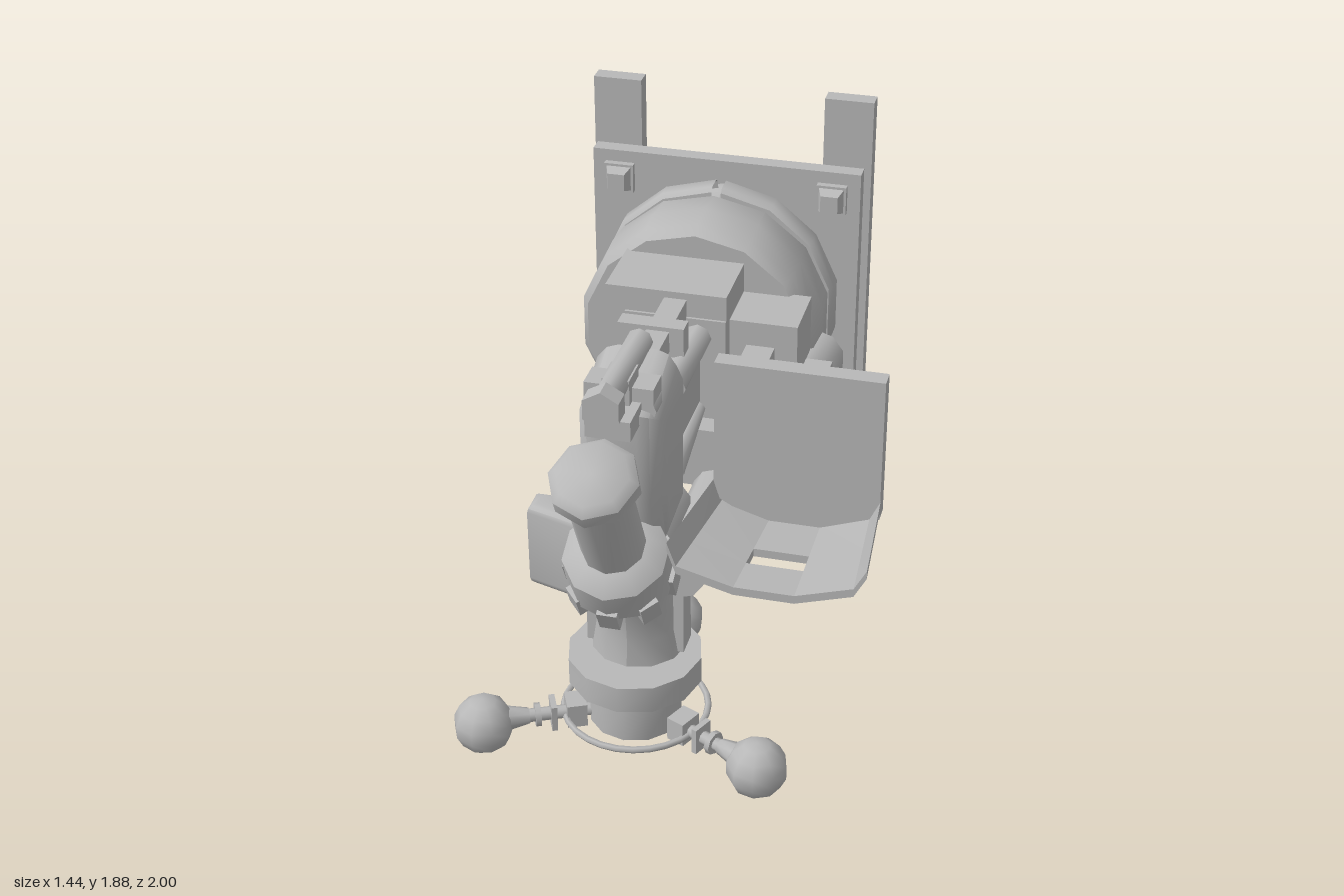
import * as THREE from 'three';
import { toCreasedNormals } from 'three/addons/utils/BufferGeometryUtils.js';

const grey = new THREE.MeshStandardMaterial({ color: 0xb8b8b8, side: THREE.DoubleSide });
grey.name = 'plain grey';
const CX = -0.125, WALL_X = -0.118, HUB_Z = 0.445;

export function createModel() {
  const model = new THREE.Group();
  const add = (name, geo, parent = model) => {
    const m = new THREE.Mesh(geo, grey);
    m.name = name;
    parent.add(m);
    return m;
  };
  // Box from its minimum and maximum corners
  const box = (name, [x0, x1], [y0, y1], [z0, z1], parent) => {
    const m = add(name, new THREE.BoxGeometry(x1 - x0, y1 - y0, z1 - z0), parent);
    m.position.set((x0 + x1) / 2, (y0 + y1) / 2, (z0 + z1) / 2);
    return m;
  };
  // Cylinder or cone running from point a to point b
  const rod = (name, a, b, ra, rb = ra, seg = 10, parent = model, open = false) => {
    const A = new THREE.Vector3(...a), B = new THREE.Vector3(...b), d = B.clone().sub(A);
    const geo = toCreasedNormals(new THREE.CylinderGeometry(rb, ra, d.length(), seg, 1, open), 0.9);
    const m = add(name, geo, parent);
    m.position.copy(A).add(B).multiplyScalar(0.5);
    m.quaternion.setFromUnitVectors(new THREE.Vector3(0, 1, 0), d.normalize());
    return m;
  };
  const shape = pts => new THREE.Shape(pts.map(p => new THREE.Vector2(...p)));
  const extrude = (pts, depth, bevel = 0) => new THREE.ExtrudeGeometry(shape(pts), {
    depth, bevelEnabled: bevel > 0, bevelSize: bevel, bevelThickness: bevel, bevelSegments: 3,
  });
  // Turned part around the z axis, from [radius, z] points
  const turned = (name, pts, seg, start = 0, sweep = Math.PI * 2) => {
    const geo = new THREE.LatheGeometry(pts.map(p => new THREE.Vector2(...p)), seg, start, sweep);
    geo.rotateX(Math.PI / 2);
    const m = add(name, toCreasedNormals(geo, 0.8));
    m.position.set(WALL_X, 1.155, 0);
  };

  // Wall mount: two rails, spacers, plate and four bolts
  for (const s of [-1, 1]) {
    const x = WALL_X + s * 0.433, sx = WALL_X + s * 0.413;
    box('rail', [x - 0.09, x + 0.09], [0.42, 1.89], [-1, -0.935]);
    box('railSpacer', [sx - 0.03, sx + 0.03], [0.69, 1.63], [-0.935, -0.9]);
    for (const y of [0.76, 1.55]) {
      const bx = WALL_X + s * 0.4;
      box('boltBase', [bx - 0.055, bx + 0.055], [y - 0.055, y + 0.055], [-0.84, -0.81]);
      const head = add('boltHead', new THREE.CylinderGeometry(0.045, 0.065, 0.04, 4).toNonIndexed());
      head.geometry.computeVertexNormals();
      head.geometry.rotateY(Math.PI / 4).rotateX(Math.PI / 2);
      head.position.set(bx, y, -0.79);
    }
  }
  box('mountPlate', [-0.62, 0.385], [0.66, 1.65], [-0.895, -0.835]);

  // Drum with a split clamp ring
  turned('drum', [[0, -0.685], [0.41, -0.685], [0.437, -0.66], [0.444, -0.54], [0.437, -0.42], [0.41, -0.38], [0, -0.38]], 14);
  turned('drumCore', [[0.37, -0.84], [0.41, -0.83], [0.41, -0.79], [0.4, -0.78], [0.4, -0.68]], 14);
  for (const start of [0.04, Math.PI + 0.04])
    turned('clampRing', [[0.39, -0.795], [0.435, -0.79], [0.45, -0.77], [0.45, -0.71], [0.435, -0.692], [0.39, -0.69]],
      7, start, Math.PI - 0.08);

  // Housing blocks in front of the drum
  box('mainHousing', [-0.37, 0.06], [0.98, 1.48], [-0.4, -0.115]);
  box('sideHousing', [0.06, 0.3], [0.98, 1.37], [-0.4, -0.165]);
  box('housingFace', [-0.3, 0.06], [0.9, 1.39], [-0.15, -0.105]);
  box('lowerHousing', [-0.37, 0.06], [0.77, 1.0], [-0.4, -0.02]);
  const wedge = add('lowerWedge', extrude([[0.06, 0.98], [0.3, 0.88], [0.3, 0.8], [0.06, 0.78]], 0.24));
  wedge.position.z = -0.38;
  rod('lowerPlug', [CX, 0.73, -0.25], [CX, 0.8, -0.25], 0.055);
  rod('sideMotor', [0.29, 1.05, -0.545], [0.29, 1.05, -0.32], 0.11, 0.11, 10);
  const nose = extrude([[0.18, 0.22], [0.3, 0.22], [0.395, 0.26], [0.395, 0.33], [0.18, 0.33]], 0.22);
  add('sideMotorNose', nose.rotateX(-Math.PI / 2)).position.y = 0.94;

  // Beams from the housing to the body
  for (const x of [-0.2, -0.12, -0.04]) {
    rod('upperBeam', [x, 1.32, -0.12], [x, 1.32, 0.25], 0.05, 0.05, 8);
    rod('lowerBeam', [x, 1.04, -0.1], [x, 0.99, 0.26], 0.03, 0.045, 8);
  }
  box('middleBeam', [-0.21, -0.03], [1.07, 1.27], [-0.12, 0.25]);
  box('topBeam', [-0.16, -0.08], [1.38, 1.455], [-0.12, 0.3]);
  box('crossBar', [-0.26, -0.03], [1.36, 1.47], [0.055, 0.12]);

  // Upright body, a side profile extruded across x with a deep rounded edge
  const bodyGeo = extrude([[0.53, 1.36], [0.37, 1.42], [0.32, 1.36], [0.33, 0.97], [0.49, 0.95], [0.53, 1.1]], 0.13, 0.08);
  const body = add('body', toCreasedNormals(bodyGeo.rotateY(-Math.PI / 2), 0.9));
  body.position.x = -0.06;
  box('bodyBracket', [-0.24, -0.01], [1.34, 1.5], [0.48, 0.58]);
  box('sightMount', [-0.17, -0.08], [1.42, 1.54], [0.5, 0.61]);
  box('frontLug', [-0.2, -0.05], [1.38, 1.45], [0.58, 0.71]);
  rod('sideBar', [-0.035, 1.42, 0.35], [-0.035, 1.42, 0.58], 0.035, 0.035, 8);
  rod('sideRod', [-0.27, 1.25, 0.24], [-0.27, 1.03, 0.18], 0.025, 0.025, 8);
  add('sideRodKnob', new THREE.SphereGeometry(0.035, 8, 6)).position.set(-0.27, 1.25, 0.24);
  rod('topTube', [CX, 1.525, 0.32], [CX, 1.525, 0.74], 0.045, 0.045, 8);
  rod('topTubeCap', [CX, 1.52, 0.71], [CX, 1.52, 0.78], 0.068, 0.068, 6);

  // Leaning barrel with cap and lugged collar, built upright then tilted
  const barrel = new THREE.Group();
  barrel.name = 'barrel';
  barrel.position.set(CX, 0.84, 0.615);
  barrel.rotation.x = 0.48;
  model.add(barrel);
  rod('barrelTube', [0, -0.1, 0], [0, 0.54, 0], 0.108, 0.108, 10, barrel);
  rod('barrelCap', [0, 0.505, 0], [0, 0.555, 0], 0.148, 0.148, 8, barrel);
  rod('barrelCapTop', [0, 0.555, 0], [0, 0.585, 0], 0.148, 0.12, 8, barrel);
  rod('collar', [0, -0.05, 0], [0, 0.08, 0], 0.185, 0.18, 10, barrel);
  rod('collarTop', [0, 0.08, 0], [0, 0.13, 0], 0.18, 0.12, 10, barrel);
  rod('collarBottom', [0, -0.11, 0], [0, -0.05, 0], 0.14, 0.185, 10, barrel);
  for (let i = 0; i < 8; i++) {
    const lug = add('collarLug', new THREE.BoxGeometry(0.07, 0.09, 0.06), barrel);
    const a = (i / 8) * Math.PI * 2;
    lug.position.set(Math.sin(a) * 0.16, -0.055, Math.cos(a) * 0.16);
    lug.rotation.y = a;
  }

  // Column curving forward into the barrel, with flange, shoulder and back boxes
  const columnPts = [[0.17, 0.36], [0.15, 0.47], [0.13, 0.6], [0.122, 0.72], [0.14, 0.92]].map(p => new THREE.Vector2(...p));
  const columnGeo = new THREE.LatheGeometry(columnPts, 12);
  const cp = columnGeo.attributes.position;
  for (let i = 0; i < cp.count; i++) cp.setZ(i, cp.getZ(i) + 0.75 * (cp.getY(i) - 0.36) ** 2);
  columnGeo.computeVertexNormals();
  add('column', columnGeo).position.set(CX, 0, 0.385);
  rod('columnShoulder', [CX, 0.82, 0.2], [CX, 0.82, 0.58], 0.145, 0.145, 10);
  box('columnBox', [-0.21, -0.04], [0.27, 0.5], [0.13, 0.32]);
  box('columnBack', [-0.22, -0.03], [0.5, 0.72], [0.29, 0.42]);
  box('columnBoxTab', [-0.16, -0.09], [0.31, 0.37], [0.08, 0.14]);
  for (const x of [-0.28, 0.03]) box('columnRib', [x - 0.018, x + 0.018], [0.38, 0.71], [0.34, 0.44]);
  rod('flange', [CX, 0.27, HUB_Z], [CX, 0.37, HUB_Z], 0.237, 0.237, 12);

  // Side cylinder on the left
  rod('sideCylinder', [0.055, 0.765, -0.01], [0.055, 0.765, 0.53], 0.088, 0.088, 10);
  rod('sideCylinderFoot', [0.05, 0.59, 0.11], [0.05, 0.72, 0.11], 0.06, 0.06, 8);

  // Elbow and open pipe on the right
  const elbow = extrude([[-0.49, -0.31], [-0.39, -0.31], [-0.23, -0.38], [-0.23, -0.44], [-0.49, -0.36]], 0.27, 0.03);
  add('elbow', toCreasedNormals(elbow.rotateX(-Math.PI / 2), 0.9)).position.y = 0.56;
  const pipe = rod('openPipe', [-0.425, 0.595, 0.32], [-0.425, 0.65, -0.065], 0.08, 0.07, 10, model, true);
  pipe.scale.x = 0.8;

  // Rotor hub with three balls on arms
  const rotor = new THREE.Group();
  rotor.name = 'rotor';
  rotor.position.set(CX, 0, HUB_Z);
  model.add(rotor);
  rod('rotorNeck', [0, 0.2, 0], [0, 0.28, 0], 0.1, 0.1, 12, rotor);
  rod('rotorHub', [0, 0.09, 0], [0, 0.22, 0], 0.165, 0.165, 12, rotor);
  rod('rotorBase', [0, 0.055, 0], [0, 0.09, 0], 0.12, 0.165, 12, rotor);
  rod('rotorTip', [0, 0.01, 0], [0, 0.06, 0], 0.03, 0.065, 8, rotor);
  const ring = add('guardRing', new THREE.TorusGeometry(0.255, 0.012, 6, 28).rotateX(Math.PI / 2), rotor);
  ring.position.y = 0.125;
  for (const degrees of [90, -25, 205]) {
    const arm = new THREE.Group();
    arm.name = 'rotorArm';
    arm.position.y = 0.13;
    arm.rotation.y = THREE.MathUtils.degToRad(degrees);
    rotor.add(arm);
    rod('armRod', [0.14, 0, 0], [0.47, 0, 0], 0.024, 0.024, 8, arm);
    box('armClamp', [0.18, 0.25], [-0.04, 0.05], [-0.045, 0.045], arm);
    box('armPlate', [0.285, 0.305], [-0.05, 0.05], [-0.04, 0.04], arm);
    rod('armDisc', [0.34, 0, 0], [0.36, 0, 0], 0.042, 0.042, 8, arm);
    rod('armSocket', [0.38, 0, 0], [0.46, 0, 0], 0.028, 0.045, 8, arm);
    const ball = add('ball', new THREE.SphereGeometry(0.108, 9, 7), arm);
    ball.position.set(0.54, -0.01, 0);
  }

  // Backboard and its support arm
  box('boardArm', [0.12, 0.22], [1.14, 1.28], [-0.17, 0.21]);
  const board = extrude([[0.11, 1.445], [0.11, 0.93], [0.29, 0.83], [0.49, 0.83], [0.68, 0.92], [0.68, 1.445]], 0.065);
  add('backboard', board).position.z = 0.2;

  // Folded tray with a cut-out floor, flaring towards the front
  const fold = [[0.07, 1.035], [0.1, 0.95], [0.29, 0.9], [0.49, 0.9], [0.68, 0.96], [0.72, 1.035]];
  const trayPart = (pts, z0, z1) => {
    const under = pts.map(([x, y]) => [x, y - 0.03]).reverse();
    const geo = extrude([...pts, ...under], z1 - z0).translate(0, 0, z0);
    const p = geo.attributes.position;
    for (let i = 0; i < p.count; i++) {
      const t = (0.73 - p.getZ(i)) / 0.47;
      p.setX(i, 0.395 + (p.getX(i) - 0.395) * (1 - 0.12 * t));
      p.setY(i, p.getY(i) - 0.045 * t);
    }
    geo.computeVertexNormals();
    add('tray', geo);
  };
  trayPart(fold, 0.25, 0.47);
  trayPart(fold.slice(0, 3), 0.47, 0.57);
  trayPart(fold.slice(3), 0.47, 0.57);
  trayPart(fold, 0.57, 0.735);

  return model;
}
